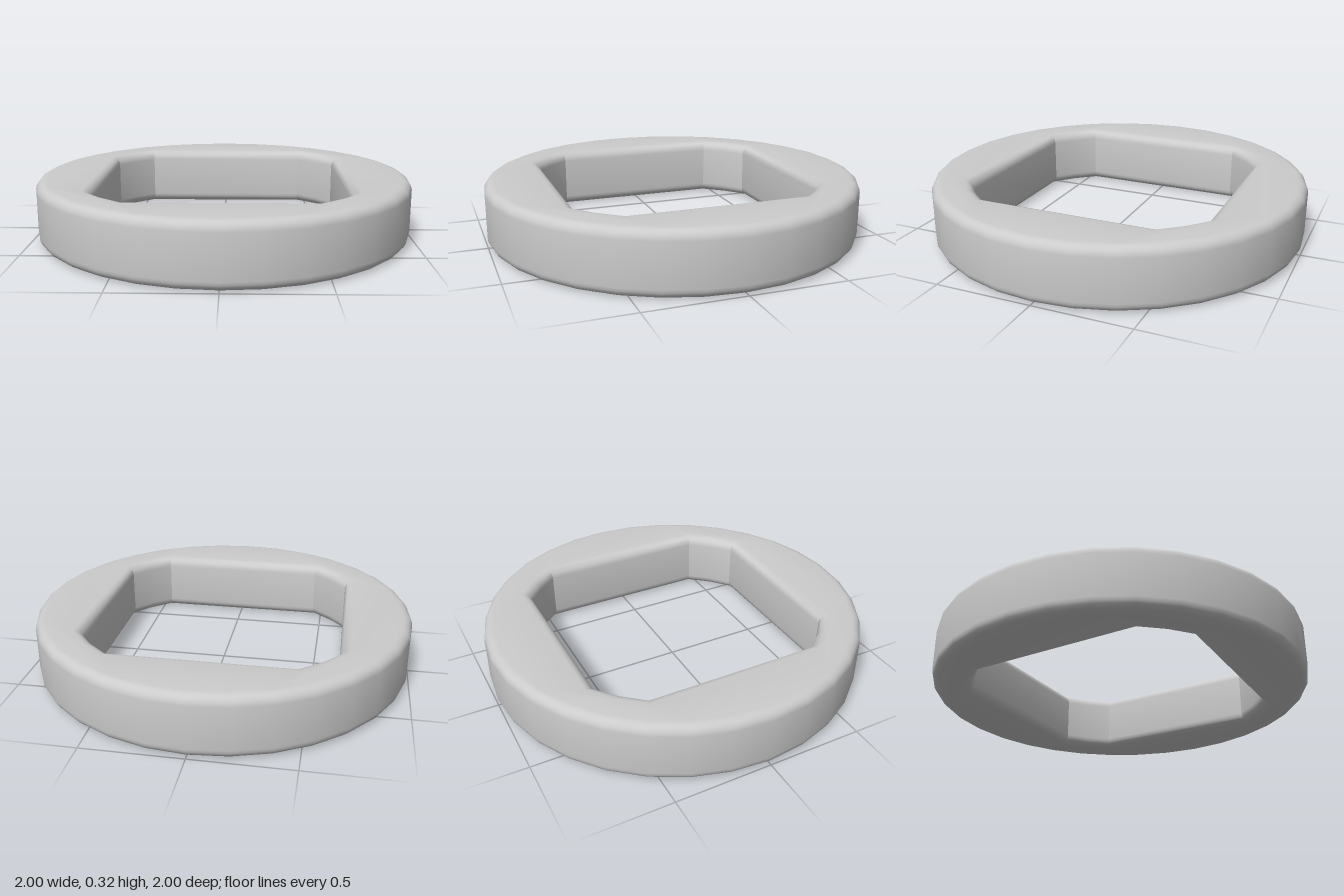
import * as THREE from 'three';
import { toCreasedNormals } from 'three/addons/utils/BufferGeometryUtils.js';

const HEIGHT = 0.32, BEVEL = 0.05, SIDES = 32;
const HOLE_HALF = 0.64, HOLE_RADIUS = 0.783;

const polar = (r, a) => new THREE.Vector2(r * Math.cos(a), r * Math.sin(a));

export function createModel() {
  const group = new THREE.Group();
  group.name = 'roundedRing';

  // Round outer rim
  const rim = [];
  for (let i = 0; i < SIDES; i++) rim.push(polar(1, (i / SIDES) * Math.PI * 2));

  // Square opening whose corners follow a circle
  const hole = [];
  const start = Math.acos(HOLE_HALF / HOLE_RADIUS);
  for (let q = 0; q < 4; q++) {
    for (const t of [0, 0.5, 1]) {
      const a = THREE.MathUtils.lerp(start, Math.PI / 2 - start, t);
      hole.push(polar(HOLE_RADIUS, a + q * Math.PI / 2));
    }
  }

  const shape = new THREE.Shape(rim);
  shape.holes.push(new THREE.Path(hole.reverse()));

  // Ring body with rounded edges on the rim and the opening
  const body = new THREE.ExtrudeGeometry(shape, {
    depth: HEIGHT - 2 * BEVEL,
    bevelEnabled: true,
    bevelSize: BEVEL,
    bevelThickness: BEVEL,
    bevelOffset: -BEVEL,
    bevelSegments: 5,
  });
  body.translate(0, 0, BEVEL);
  body.rotateX(-Math.PI / 2);

  const ring = new THREE.Mesh(
    toCreasedNormals(body, THREE.MathUtils.degToRad(32)),
    new THREE.MeshStandardMaterial({ color: 0xcccccc })
  );
  ring.name = 'ring';
  group.add(ring);
  return group;
}
